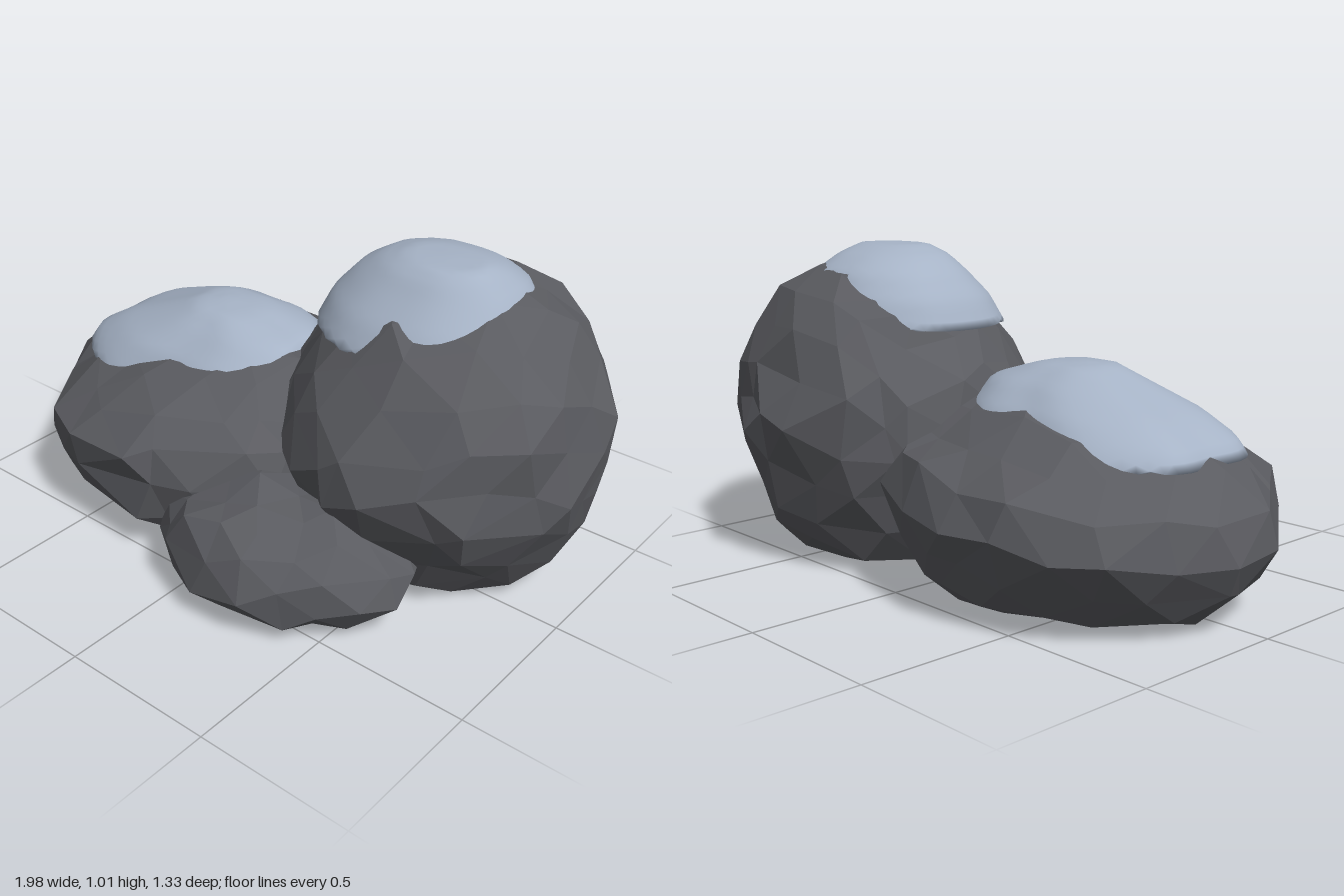
import * as THREE from 'three';
import { mergeVertices } from 'three/addons/utils/BufferGeometryUtils.js';

// Each station is [height, xMin, xMax, zMin, zMax], listed from bottom to top.
const BIG_ROCK = [
  [0, 0.4, 0.4, -0.15, -0.15], [0, 0.12, 0.72, -0.42, 0.15], [0.05, 0.05, 0.83, -0.53, 0.19],
  [0.15, 0, 0.93, -0.58, 0.25], [0.3, -0.06, 0.98, -0.62, 0.34], [0.44, -0.09, 1, -0.67, 0.4],
  [0.62, -0.05, 1.01, -0.62, 0.32], [0.72, 0.04, 0.97, -0.57, 0.26], [0.81, 0.1, 0.91, -0.53, 0.2],
  [0.89, 0.19, 0.79, -0.46, 0.05], [0.95, 0.3, 0.67, -0.34, -0.05], [0.97, 0.48, 0.48, -0.18, -0.18],
];
const LONG_ROCK = [
  [0, -0.35, -0.35, 0, 0], [0, -0.76, 0.12, -0.42, 0.38], [0.07, -0.91, 0.2, -0.51, 0.49],
  [0.17, -0.98, 0.26, -0.57, 0.56], [0.31, -1.01, 0.29, -0.62, 0.59], [0.4, -0.9, 0.29, -0.56, 0.54],
  [0.47, -0.79, 0.26, -0.45, 0.44], [0.54, -0.65, 0.2, -0.31, 0.29], [0.6, -0.48, 0.1, -0.19, 0.17],
  [0.64, -0.25, -0.25, 0, 0],
];
const SMALL_ROCK = [
  [0, 0.23, 0.23, 0.3, 0.3], [0, -0.16, 0.54, 0.02, 0.53], [0.05, -0.23, 0.62, 0, 0.62],
  [0.15, -0.21, 0.7, 0, 0.67], [0.28, -0.1, 0.57, 0.03, 0.63], [0.34, 0.02, 0.44, 0.12, 0.53],
  [0.375, 0.23, 0.23, 0.33, 0.33],
];
// The snow starts inside its own rim, so its underside curves up under the stone.
const BIG_SNOW = [
  [0.86, 0.4, 0.4, -0.15, -0.15], [0.76, 0.06, 0.77, -0.46, 0.18], [0.85, 0.1, 0.74, -0.43, 0.13],
  [0.93, 0.17, 0.69, -0.38, 0.06], [0.98, 0.25, 0.64, -0.3, 0.02], [1.01, 0.34, 0.6, -0.21, -0.02],
  [1.015, 0.48, 0.48, -0.12, -0.12],
];
const LONG_SNOW = [
  [0.62, -0.35, -0.35, 0, 0], [0.45, -0.81, 0.08, -0.34, 0.32], [0.5, -0.78, 0.07, -0.31, 0.29],
  [0.56, -0.68, 0.05, -0.27, 0.25], [0.63, -0.51, 0, -0.19, 0.17], [0.68, -0.39, -0.16, -0.1, 0.1],
  [0.69, -0.3, -0.3, 0, 0],
];
// Plan outlines: radius factors every 30 degrees, turning from +x towards +z.
const ROUND = [1, 1, 1, 1, 0.97, 0.95, 1, 1.02, 1.03, 1, 0.97, 0.98];
const LONG = [1, 1, 0.97, 1, 0.96, 0.86, 1, 1.02, 1.03, 1, 1.03, 1];
const SMALL = [1, 0.95, 0.95, 1, 1.02, 1.03, 1, 1, 1, 1, 1, 1];
const BIG_CAP = [1, 1.03, 1.03, 1, 1.03, 1.03, 1, 1.03, 1.03, 1, 1.03, 1.03];
const LONG_CAP = [1, 1.1, 1.1, 1, 1.1, 1.1, 1, 1.1, 1.1, 1, 1.1, 1.1];

// Repeatable value in 0..1 for a direction, so shared corners move together.
function hash(d, seed) {
  const r = (v) => Math.round(v * 1000) / 1000;
  const s = Math.sin(r(d.x) * 12.99 + r(d.y) * 78.23 + r(d.z) * 37.72 + seed) * 437.58;
  return s - Math.floor(s);
}

// Smoothly blended outline factor at an angle.
function factorAt(outline, angle) {
  const n = outline.length;
  const u = ((angle / (Math.PI * 2)) % 1 + 1) % 1 * n;
  const i = Math.floor(u) % n;
  return THREE.MathUtils.lerp(outline[i], outline[(i + 1) % n], THREE.MathUtils.smoothstep(u - Math.floor(u), 0, 1));
}

// Wraps a ball around the stations, pacing them by their distance along the profile.
function wrap(geometry, stations, outline, rough = 0, seed = 1) {
  const halfWidth = (s) => (s[2] - s[1] + s[4] - s[3]) / 4;
  const arc = [0];
  for (let i = 1; i < stations.length; i++) {
    const a = stations[i - 1], b = stations[i];
    arc.push(arc[i - 1] + Math.hypot(b[0] - a[0], halfWidth(b) - halfWidth(a)));
  }
  const pos = geometry.attributes.position;
  const d = new THREE.Vector3();
  for (let i = 0; i < pos.count; i++) {
    d.fromBufferAttribute(pos, i).normalize();
    const t = (1 - Math.acos(THREE.MathUtils.clamp(d.y, -1, 1)) / Math.PI) * arc.at(-1);
    let k = 1;
    while (k < arc.length - 1 && arc[k] < t) k++;
    const f = (t - arc[k - 1]) / (arc[k] - arc[k - 1]);
    const [y, x0, x1, z0, z1] = stations[k].map((v, j) => THREE.MathUtils.lerp(stations[k - 1][j], v, f));
    const angle = Math.atan2(d.z, d.x) + (hash(d, seed) - 0.5) * rough * 3;
    const swell = factorAt(outline, angle) * (1 + rough * (hash(d, seed + 5) - 0.5));
    const lift = y > 0.02 ? (hash(d, seed + 9) - 0.5) * rough * 0.5 : 0;
    pos.setXYZ(i, (x0 + x1) / 2 + Math.cos(angle) * swell * (x1 - x0) / 2, Math.max(0, y + lift),
      (z0 + z1) / 2 + Math.sin(angle) * swell * (z1 - z0) / 2);
  }
  return geometry;
}

// Removes the faces lying on the ground, leaving a hollow underside.
function openBottom(geometry) {
  const p = geometry.attributes.position, kept = [];
  for (let i = 0; i < p.count; i += 3) {
    if (Math.max(p.getY(i), p.getY(i + 1), p.getY(i + 2)) < 0.01) continue;
    for (let j = i; j < i + 3; j++) kept.push(p.getX(j), p.getY(j), p.getZ(j));
  }
  return new THREE.BufferGeometry().setAttribute('position', new THREE.Float32BufferAttribute(kept, 3));
}

export function createModel() {
  const group = new THREE.Group();
  const stone = new THREE.MeshStandardMaterial({ color: 0x5a5b60, flatShading: true, side: THREE.DoubleSide });
  const snow = new THREE.MeshStandardMaterial({ color: 0xa6b3c6 });

  const add = (name, geometry, material) => {
    geometry.computeVertexNormals();
    const mesh = new THREE.Mesh(geometry, material);
    mesh.name = name;
    group.add(mesh);
  };
  const rock = (name, stations, outline, detail, turn, seed, hollow) => {
    const ball = new THREE.IcosahedronGeometry(1, detail).rotateX(turn).rotateY(turn * 2);
    const shape = wrap(ball, stations, outline, 0.08, seed);
    add(name, hollow ? openBottom(shape) : shape, stone);
  };
  const cap = (name, stations, outline) => {
    const ball = new THREE.IcosahedronGeometry(1, 9);
    ball.deleteAttribute('uv');
    ball.deleteAttribute('normal');
    add(name, wrap(mergeVertices(ball), stations, outline), snow);
  };

  // Stones
  rock('bigRock', BIG_ROCK, ROUND, 3, 0.4, 3, false);
  rock('longRock', LONG_ROCK, LONG, 3, 0.9, 8, true);
  rock('smallRock', SMALL_ROCK, SMALL, 2, 0.6, 5, true);

  // Snow lying on the two taller stones
  cap('bigRockSnow', BIG_SNOW, BIG_CAP);
  cap('longRockSnow', LONG_SNOW, LONG_CAP);
  return group;
}
